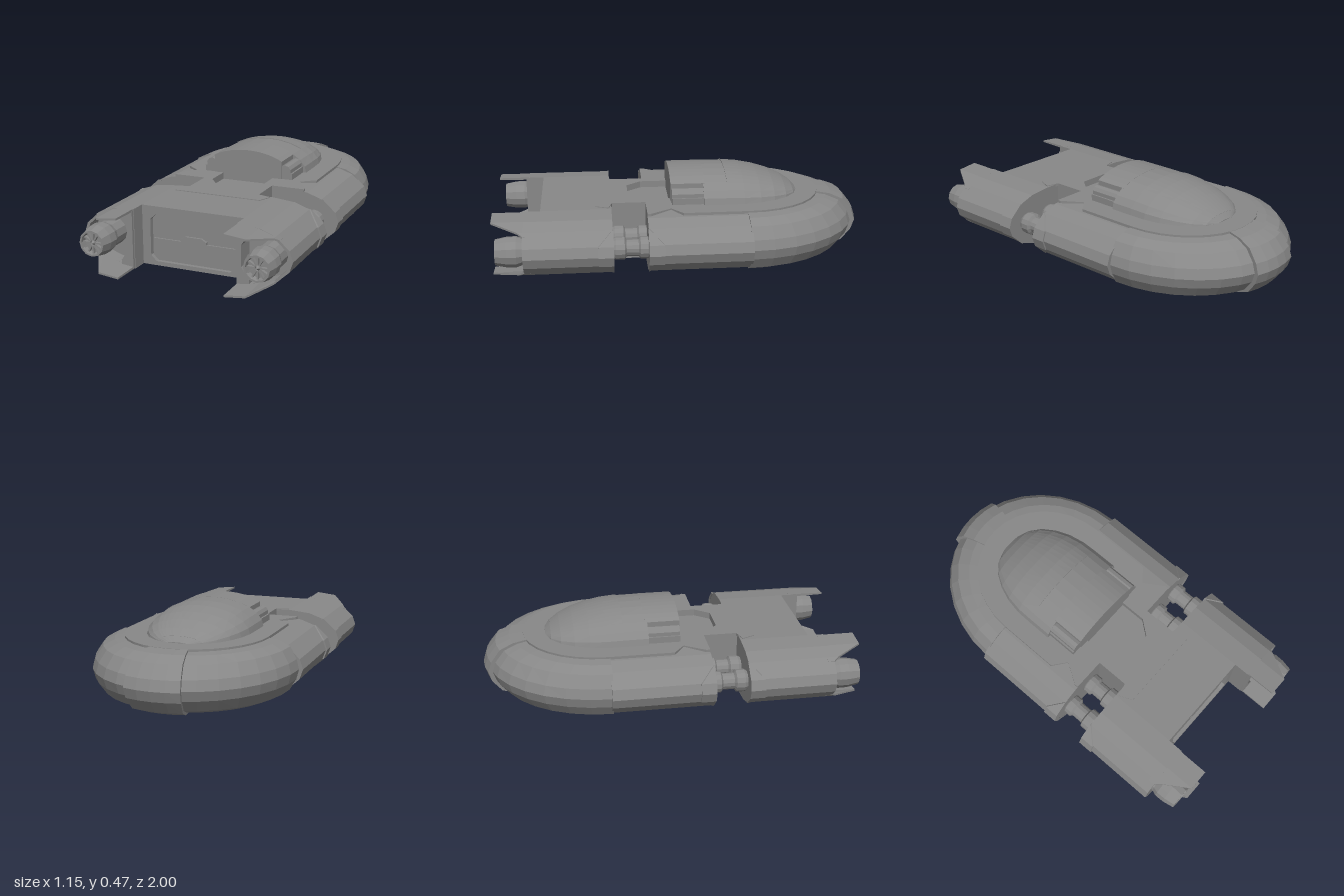
import * as THREE from 'three';

const mat = new THREE.MeshStandardMaterial({ color: 0x888888, flatShading: true, side: THREE.DoubleSide });

// Upper right quarter of the hull cross-section, from flat deck to widest point
const QUARTER = [[0.28, 0.322], [0.4, 0.31], [0.48, 0.282], [0.55, 0.218], [0.568, 0.165]];
const MID = 0.165;
const SIDE = [...QUARTER, ...QUARTER.slice(0, -1).reverse().map(([x, y]) => [x, 2 * MID - y])];
const FULL = [...SIDE, ...SIDE.map(([x, y]) => [-x, y]).reverse()];

function add(parent, name, geometry, x = 0, y = 0, z = 0) {
  const mesh = new THREE.Mesh(geometry, mat);
  mesh.name = name;
  mesh.position.set(x, y, z);
  parent.add(mesh);
  return mesh;
}

function shapeOf(points, hole) {
  const s = new THREE.Shape(points.map(p => new THREE.Vector2(...p)));
  if (hole) s.holes.push(new THREE.Path(hole.map(p => new THREE.Vector2(...p))));
  return s;
}

// Cross-section in x/y pushed from z0 to z1
function slab(points, z0, z1, hole) {
  return new THREE.ExtrudeGeometry(shapeOf(points, hole), { depth: z1 - z0, bevelEnabled: false }).translate(0, 0, z0);
}

// Plan outline in x/z raised from y0 to y1
function plate(points, y0, y1) {
  return new THREE.ExtrudeGeometry(shapeOf(points.map(([x, z]) => [x, -z])), { depth: y1 - y0, bevelEnabled: false })
    .rotateX(-Math.PI / 2).translate(0, y0, 0);
}

// Skin over closed rings of equal length, with both ends capped
function loft(rings) {
  const n = rings[0].length, idx = [], pos = rings.flat(2);
  for (let r = 0; r < rings.length - 1; r++)
    for (let i = 0; i < n; i++) {
      const a = r * n + i, b = r * n + (i + 1) % n;
      idx.push(a, b, b + n, a, b + n, a + n);
    }
  const last = (rings.length - 1) * n;
  for (let i = 1; i < n - 1; i++) idx.push(0, i + 1, i, last, last + i, last + i + 1);
  // Turn the faces outward
  const v = i => new THREE.Vector3().fromArray(pos, i * 3);
  let volume = 0;
  for (let i = 0; i < idx.length; i += 3) volume += v(idx[i]).dot(v(idx[i + 1]).cross(v(idx[i + 2])));
  if (volume < 0) idx.reverse();
  const g = new THREE.BufferGeometry();
  g.setAttribute('position', new THREE.Float32BufferAttribute(pos, 3));
  g.setIndex(idx);
  const flat = g.toNonIndexed();
  flat.computeVertexNormals();
  return flat;
}

const range = (n, f) => Array.from({ length: n + 1 }, (_, i) => f(i / n));
const mirrorX = pts => [...pts, ...pts.map(([x, z]) => [-x, z]).reverse()];
const rectCut = (x, y0, y1, c) => mirrorX([[x - c, y0], [x, y0 + c], [x, y1 - c], [x - c, y1]]);
const arc = (rx, rz, z, n = 16) => range(n, t => [rx * Math.cos(t * Math.PI), z - rz * Math.sin(t * Math.PI)]);

// Inset from the rim and height for the rounded nose
const NOSE = [[0.23, 0.318], [0.145, 0.308], [0.07, 0.28], [0.018, 0.218], [0, 0.165], [0.018, 0.112], [0.07, 0.05], [0.145, 0.022], [0.23, 0.012]];

function buildNose(g) {
  const rings = NOSE.map(([d, y]) => arc(0.548 - d * 0.75, 0.637 - d, -0.34).map(([x, z]) => [x, y, z]));
  add(g, 'nose', loft(rings));
  // Raised middle segment of the nose band
  const seg = range(4, t => {
    const a = Math.PI * (0.413 + 0.174 * t);
    return NOSE.map(([d, y]) => [(0.548 - d * 0.75) * Math.cos(a), MID + (y - MID) * 1.05, -0.34 - (0.66 - d) * Math.sin(a)]);
  });
  add(g, 'noseCap', loft(seg));
}

function buildCanopy(g) {
  const base = 0.322;
  // Domed section: z, half width, height
  const rows = [[-0.12, 0.28, 0.147], [-0.25, 0.28, 0.145], [-0.34, 0.278, 0.136], [-0.43, 0.262, 0.118],
    [-0.51, 0.232, 0.094], [-0.58, 0.188, 0.064], [-0.63, 0.13, 0.034], [-0.658, 0.06, 0.008]];
  const arch = (w, h, z, a0 = 0, k = 1) => range(12, t => {
    const a = a0 + t * (Math.PI - 2 * a0);
    return [w * k * Math.cos(a), base + h * k * Math.sin(a), z];
  });
  add(g, 'canopyDome', loft(rows.map(([z, w, h]) => arch(w, h, z))));
  add(g, 'canopyWindow', loft(rows.slice(1, 7).map(([z, w, h]) => arch(w, h, z, 0.8, 1.02))));
  // Rear of the cabin, narrower, with a pod on each side
  const rear = [[-0.2, 0.28], [0.2, 0.28], ...arch(0.28, 0.147, 0, 0.77).map(([x, y]) => [x, y])];
  add(g, 'cabinRear', slab(rear, -0.13, 0.055));
  for (const s of [-1, 1]) {
    add(g, 'cabinPod', new THREE.CylinderGeometry(0.034, 0.034, 0.17, 10).rotateX(Math.PI / 2), s * 0.218, 0.37, -0.035);
    add(g, 'podFoot', new THREE.BoxGeometry(0.06, 0.04, 0.17), s * 0.23, 0.34, -0.035);
  }
}

// Raised flap on the hull side beside the gap; dir points away from the gap
function buildFlap(g, s, z, dir) {
  const length = x => dir * Math.min(0.08, Math.max(0.005, (x - 0.48) * 1.14));
  const rings = SIDE.slice(2, -2).map(([x, y]) => {
    const end = z + length(x), out = [s * x * 1.014, MID + (y - MID) * 1.01], inner = [s * x * 0.97, MID + (y - MID) * 0.97];
    return [[...out, z], [...out, end], [...inner, end], [...inner, z]];
  });
  add(g, dir > 0 ? 'sternFlap' : 'midFlap', loft(rings));
}

function buildStern(g) {
  add(g, 'sternHull', slab(FULL, 0.375, 0.72));
  add(g, 'doorFrame', slab(FULL, 0.72, 0.75, rectCut(0.235, 0.03, 0.28, 0.03)));
  for (const [y, h] of [[0.088, 0.116], [0.223, 0.114]])
    add(g, 'doorPanel', new THREE.BoxGeometry(0.464, h, 0.01), 0, y, 0.724);
  add(g, 'doorHandle', slab(mirrorX([[0.045, 0.132], [0.07, 0.148], [0.07, 0.162], [0.045, 0.178]]), 0.72, 0.74));

  for (const s of [-1, 1]) {
    const side = new THREE.Group();
    side.name = s > 0 ? 'leftEngineBay' : 'rightEngineBay';
    g.add(side);
    const flip = pts => pts.map(([x, y]) => [x * s, y]);
    const bay = SIDE.map(([x, y]) => [0.435 + (x - 0.435) * 0.88, MID + (y - MID) * 0.9]);
    add(side, 'bayShell', slab(flip(SIDE), 0.75, 0.835, flip(bay)));
    // Inner wall with a chevron hollow facing the engine
    const wall = [[0.283, 0.012], [0.35, 0.025], [0.35, 0.05], [0.308, 0.11], [0.308, 0.22], [0.35, 0.28], [0.35, 0.305], [0.283, 0.318]];
    add(side, 'innerWall', slab(flip(wall), 0.75, 0.85));
    // Prongs follow the curve of the hull above and below
    for (const v of [-1, 1]) {
      const cols = [[0.285, 0.322, 1], [0.395, 0.31, 1], [0.48, 0.282, 0.86], [0.5, 0.265, 0.832]];
      const rings = cols.map(([x, y, z]) => [[y, 0.8], [y, z], [y - 0.01, z], [y - 0.014, 0.8]]
        .map(([h, d]) => [s * x, MID + v * (h - MID), d]));
      add(side, v > 0 ? 'upperProng' : 'lowerProng', loft(rings));
    }
    buildEngine(side, s * 0.442);
  }
}

function buildEngine(parent, x) {
  const e = new THREE.Group();
  e.name = 'engine';
  e.position.set(x, MID, 0);
  parent.add(e);
  const prof = [[0, 0.75], [0.07, 0.75], [0.07, 0.84], [0.081, 0.87], [0.08, 0.92], [0.068, 0.98], [0.058, 0.98], [0.054, 0.95], [0, 0.95]];
  add(e, 'nozzle', new THREE.LatheGeometry(prof.map(p => new THREE.Vector2(...p)), 12).rotateX(Math.PI / 2));
  add(e, 'hub', new THREE.ConeGeometry(0.018, 0.03, 10).rotateX(Math.PI / 2), 0, 0, 0.965);
  for (let i = 0; i < 12; i++) {
    const a = i * Math.PI / 6;
    add(e, 'vane', new THREE.BoxGeometry(0.042, 0.008, 0.02), 0.034 * Math.cos(a), 0.034 * Math.sin(a), 0.957).rotation.z = a;
  }
}

export function createModel() {
  const g = new THREE.Group();
  g.name = 'craft';

  buildNose(g);
  // Mid hull, with a sunken well in the deck behind the cabin
  const well = [[0.148, 0.29], [0.148, 0.322]];
  add(g, 'midHull', slab(FULL, -0.35, 0.045));
  add(g, 'wellHull', slab(mirrorX([...well, ...SIDE]), 0.045, 0.19));
  add(g, 'spine', new THREE.BoxGeometry(0.4, 0.286, 0.2), 0, 0.147, 0.282);
  add(g, 'spineDeck', plate(mirrorX([[0.085, 0.28], [0.148, 0.2], [0.148, 0.185], [0.2, 0.185], [0.2, 0.38]]), 0.285, 0.326));

  // Raised deck and belly plate, rounded to match the nose
  const deck = [...arc(0.385, 0.43, -0.35), ...mirrorX([[0.385, 0], [0.31, 0.06], [0.38, 0.17], [0.38, 0.19], [0.148, 0.19], [0.148, 0.045]]).reverse()];
  add(g, 'deckPlate', plate(deck, 0.3, 0.326));
  add(g, 'bellyPlate', plate(arc(0.37, 0.41, -0.35), 0.006, 0.03));
  add(g, 'rearDeck', plate(mirrorX([[0.2, 0.37], [0.27, 0.39], [0.24, 0.46]]), 0.31, 0.326));

  // Coupling cylinders bridging the gap
  const coupling = [[0.05, 0.18], [0.058, 0.195], [0.058, 0.232], [0.044, 0.242], [0.044, 0.305], [0.06, 0.315], [0.06, 0.36], [0.05, 0.38]];
  for (const x of [-0.442, -0.28, 0.28, 0.442])
    add(g, 'coupling', new THREE.LatheGeometry(coupling.map(p => new THREE.Vector2(...p)), 14).rotateX(Math.PI / 2), x, MID, 0);

  for (const s of [-1, 1]) {
    buildFlap(g, s, 0.372, 1);
    buildFlap(g, s, 0.192, -1);
  }
  buildCanopy(g);
  buildStern(g);
  return g;
}
